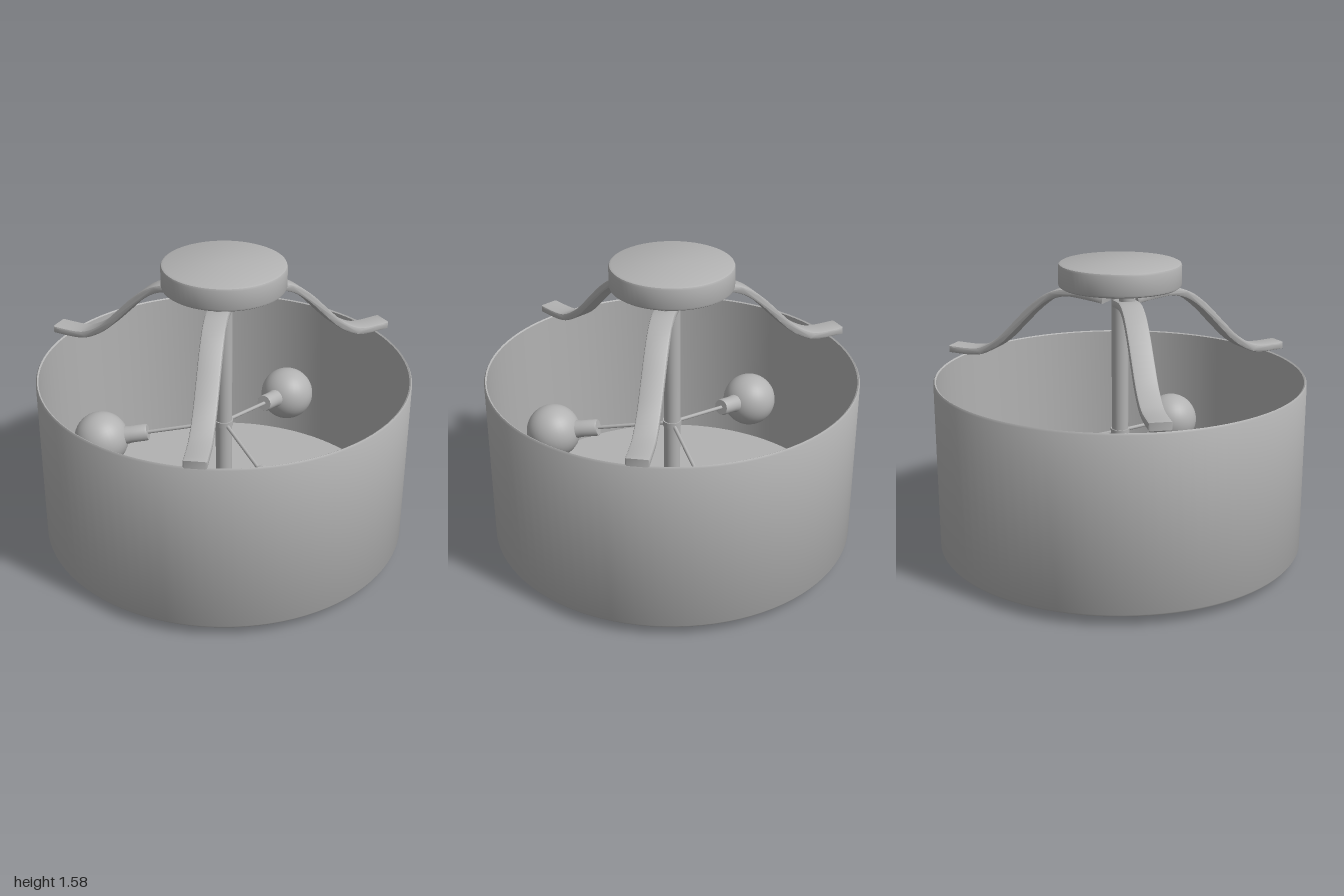
import * as THREE from 'three';
import { toCreasedNormals } from 'three/addons/utils/BufferGeometryUtils.js';

const metal = new THREE.MeshStandardMaterial({ color: 0xb2b2b2, side: THREE.DoubleSide });
metal.name = 'grey';

function add(parent, name, geometry, x = 0, y = 0, z = 0) {
  const mesh = new THREE.Mesh(geometry, metal);
  mesh.name = name;
  mesh.position.set(x, y, z);
  parent.add(mesh);
  return mesh;
}

// Turned part with sharp edges kept where the profile bends strongly
function lathe(points, segments = 64) {
  const profile = points.map(([r, y]) => new THREE.Vector2(r, y));
  return toCreasedNormals(new THREE.LatheGeometry(profile, segments), 0.6);
}

// Curved flat strap: thickened S-curve extruded across its width
function strapGeometry(points, thickness, width) {
  const curve = new THREE.SplineCurve(points.map(([x, y]) => new THREE.Vector2(x, y)));
  const upper = [], lower = [];
  const bevel = 0.01;
  for (let i = 0; i <= 36; i++) {
    const p = curve.getPoint(i / 36);
    const t = curve.getTangent(i / 36);
    const n = new THREE.Vector2(-t.y, t.x).multiplyScalar(thickness / 2 - bevel);
    upper.push(p.clone().add(n));
    lower.unshift(p.clone().sub(n));
  }
  const geometry = new THREE.ExtrudeGeometry(new THREE.Shape([...lower, ...upper]), {
    depth: width - 2 * bevel, bevelThickness: bevel, bevelSize: bevel, bevelSegments: 2, steps: 1,
  });
  geometry.translate(0, 0, -width / 2 + bevel);
  return toCreasedNormals(geometry, 0.7);
}

export function createModel() {
  const model = new THREE.Group();
  model.name = 'ceilingLight';
  const light = new THREE.Group();
  light.name = 'lightBody';
  light.position.set(0.015, 0, -0.003);
  model.add(light);

  // Drum shade, open at the top
  add(light, 'drumShade', lathe([
    [0.965, 0.06], [0.973, 0.055], [0.979, 0.065], [0.979, 0.965],
    [0.973, 0.975], [0.965, 0.97], [0.965, 0.06],
  ], 96));

  // Bottom diffuser with a shallow central cup
  add(light, 'diffuser', lathe([
    [0.966, 0.085], [0.175, 0.085], [0.15, 0.11], [0.04, 0.13],
    [0.04, 0.14], [0.16, 0.12], [0.19, 0.095], [0.966, 0.095],
  ], 96));

  // Ceiling canopy
  add(light, 'canopy', lathe([
    [0, 1.45], [0.308, 1.45], [0.317, 1.456], [0.32, 1.465],
    [0.32, 1.56], [0.316, 1.57], [0.306, 1.575], [0, 1.575],
  ]));

  // Centre stem, bottom finial and lamp hub
  add(light, 'stem', new THREE.CylinderGeometry(0.044, 0.044, 1.4, 32), 0, 0.75, 0);
  add(light, 'finial', lathe([
    [0, 0], [0.05, 0], [0.055, 0.005], [0.055, 0.06], [0.045, 0.07], [0.045, 0.13],
  ], 24));
  add(light, 'lampHub', new THREE.CylinderGeometry(0.05, 0.05, 0.03, 32), 0, 0.66, 0);

  // Three S-curved straps from canopy to shade rim
  const strap = strapGeometry([
    [0.085, 1.378], [0.2, 1.393], [0.3, 1.397], [0.4, 1.365], [0.5, 1.29], [0.6, 1.19],
    [0.7, 1.095], [0.8, 1.035], [0.88, 1.017], [1.01, 1.017],
  ], 0.04, 0.115);
  for (const degrees of [-65, 62, 170.6]) {
    const arm = new THREE.Group();
    arm.name = 'supportArm';
    arm.rotation.y = -THREE.MathUtils.degToRad(degrees);
    add(arm, 'strap', strap);
    add(arm, 'mountingPad', new THREE.CylinderGeometry(0.042, 0.042, 0.07, 24), 0.2, 1.425, 0);
    light.add(arm);
  }

  // Canopy screw
  add(light, 'canopyScrew', new THREE.CylinderGeometry(0.014, 0.014, 0.03, 12), 0.21, 1.44, 0.05);

  // Three globe lamps on thin rods sloping down from the hub
  for (const degrees of [-92, 27.5, 148]) {
    const lamp = new THREE.Group();
    lamp.name = 'lamp';
    lamp.rotation.order = 'YXZ';
    lamp.position.y = 0.66;
    lamp.rotation.set(0, -THREE.MathUtils.degToRad(degrees), -0.19);
    add(lamp, 'rod', new THREE.CylinderGeometry(0.01, 0.01, 0.42, 12), 0.22, 0, 0).rotation.z = -Math.PI / 2;
    add(lamp, 'socket', lathe([
      [0, 0.42], [0.042, 0.42], [0.046, 0.43], [0.046, 0.51], [0.05, 0.54], [0.05, 0.56],
    ], 24)).rotation.z = -Math.PI / 2;
    add(lamp, 'bulb', new THREE.SphereGeometry(0.148, 32, 24), 0.68, 0, 0);
    light.add(lamp);
  }
  return model;
}
